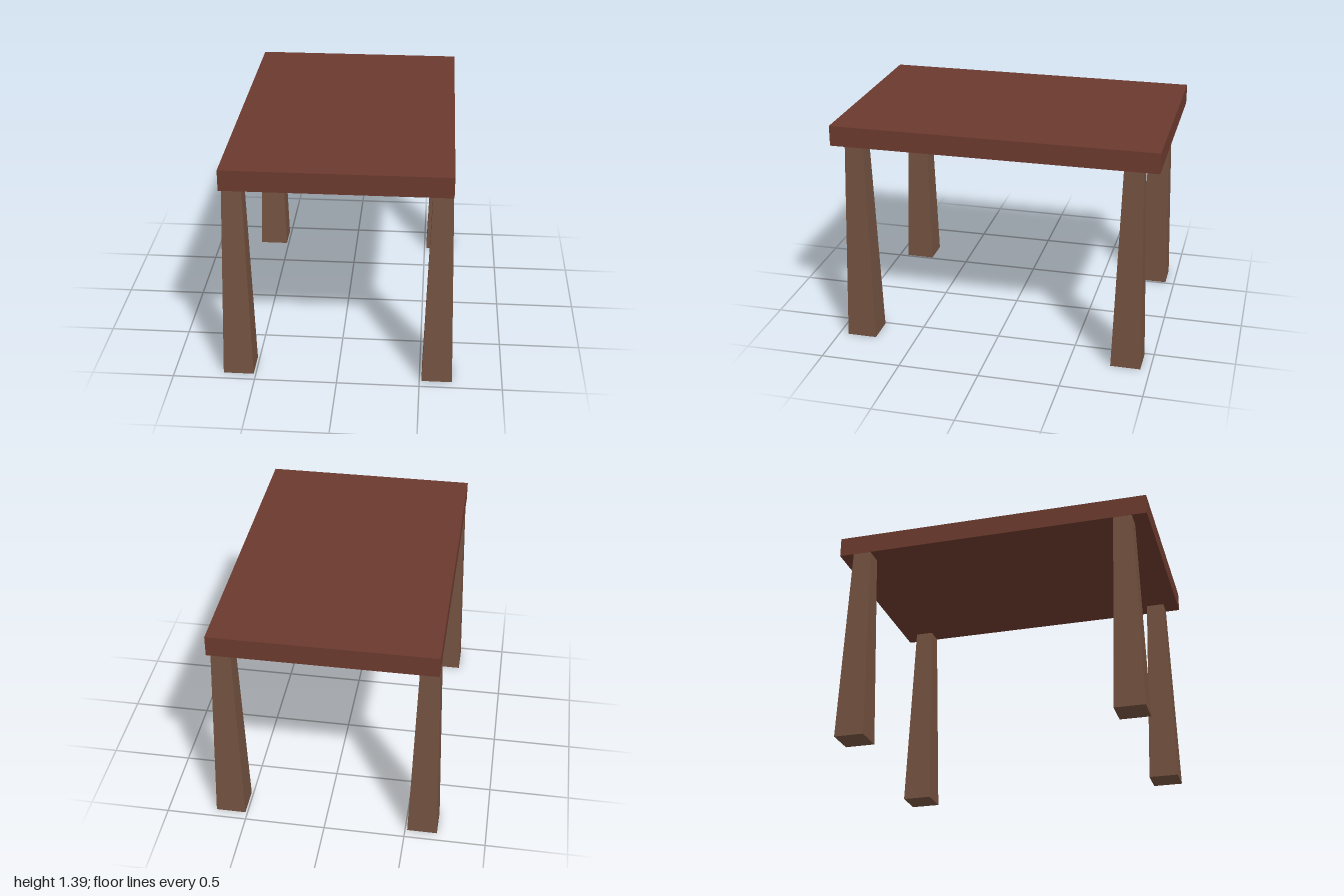
import * as THREE from 'three';

const material = (color) => new THREE.MeshStandardMaterial({ color, flatShading: true });

export function createModel() {
  const table = new THREE.Group();
  table.name = 'table';

  // Thick rectangular slab
  const slabBottom = 1.268, slabTop = 1.394;
  const top = new THREE.Mesh(
    new THREE.BoxGeometry(1.33, slabTop - slabBottom, 2),
    material(0x6b3a2e)
  );
  top.name = 'tableTop';
  top.position.y = (slabBottom + slabTop) / 2;
  table.add(top);

  // Square legs, wider at the foot than under the slab
  const legGeometry = new THREE.CylinderGeometry(
    0.0575 * Math.SQRT2, 0.0925 * Math.SQRT2, slabBottom, 4
  );
  legGeometry.rotateY(Math.PI / 4);
  legGeometry.translate(0, slabBottom / 2, 0);
  const legMaterial = material(0x735240);
  for (const [side, x] of [['Left', 0.606], ['Right', -0.606]]) {
    for (const [end, z] of [['front', 0.849], ['back', -0.849]]) {
      const leg = new THREE.Mesh(legGeometry, legMaterial);
      leg.name = `${end}${side}Leg`;
      leg.position.set(x, 0, z);
      table.add(leg);
    }
  }
  return table;
}
